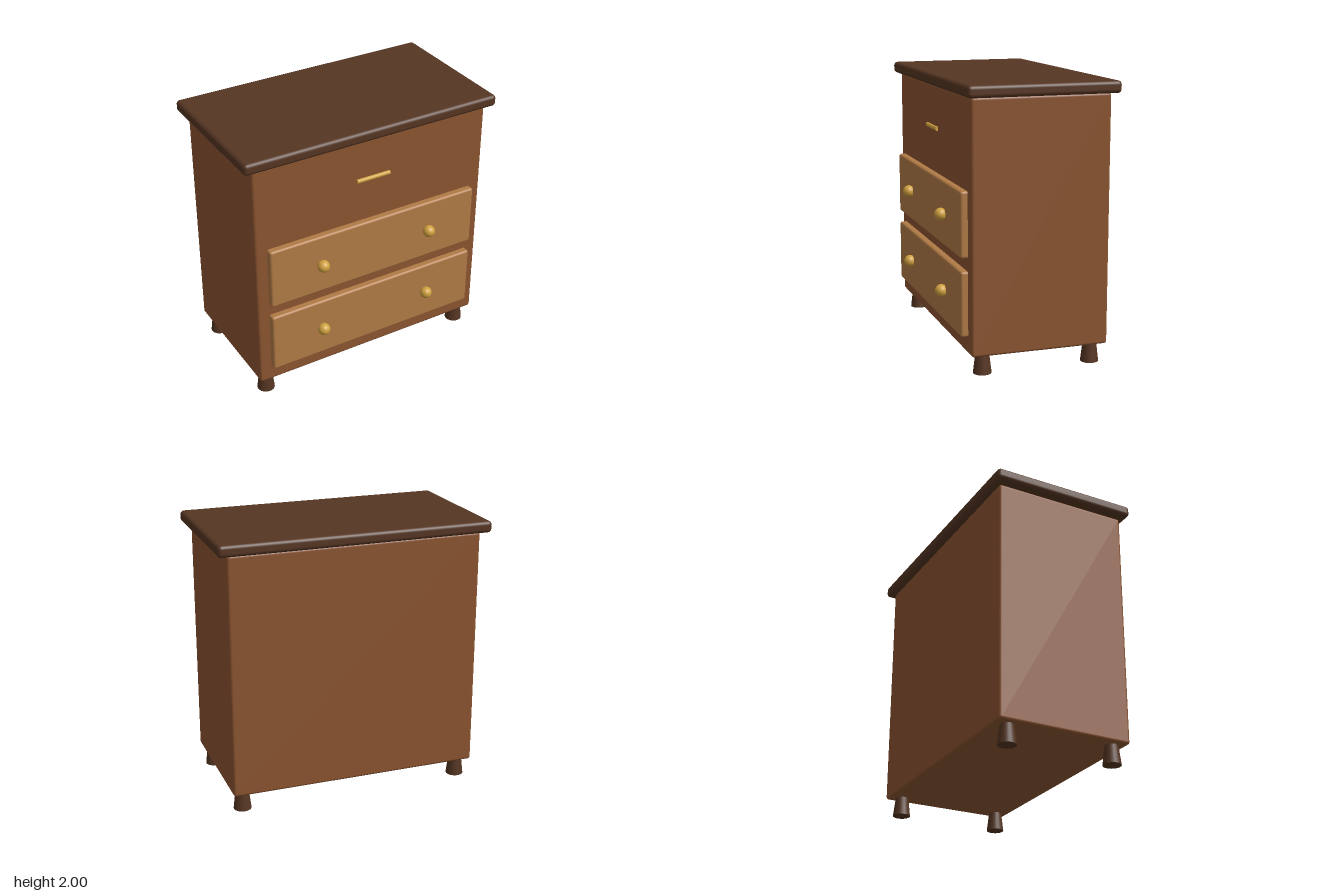
import * as THREE from 'three';
import { RoundedBoxGeometry } from 'three/addons/geometries/RoundedBoxGeometry.js';

const mat = (name, color) => {
  const m = new THREE.MeshStandardMaterial({ color });
  m.name = name;
  return m;
};

export function createModel() {
  const group = new THREE.Group();
  group.name = 'chestOfDrawers';
  const wood = mat('brown wood', 0x8b5430);
  const darkWood = mat('dark wood', 0x553522);
  const lightWood = mat('light wood', 0xb07a45);
  const brass = mat('brass', 0xcfa03f);

  const add = (name, geometry, material, x, y, z) => {
    const mesh = new THREE.Mesh(geometry, material);
    mesh.name = name;
    mesh.position.set(x, y, z);
    group.add(mesh);
    return mesh;
  };

  // Carcass and overhanging top
  add('body', new RoundedBoxGeometry(1.86, 1.775, 0.998, 4, 0.02), wood, 0, 1.0275, -0.037);
  add('top', new RoundedBoxGeometry(2, 0.085, 1.09, 4, 0.028), darkWood, 0, 1.9575, -0.038);

  // Two drawer fronts, each with a pair of knobs
  const drawer = new RoundedBoxGeometry(1.685, 0.463, 0.09, 4, 0.018);
  const knob = new THREE.SphereGeometry(0.045, 24, 16);
  for (const y of [0.494, 1.048]) {
    add('drawerFront', drawer, lightWood, 0, y, 0.468);
    for (const side of [-1, 1]) add('knob', knob, brass, side * 0.443, y + 0.001, 0.538);
  }

  // Slim bar handle above the drawers
  const bar = new THREE.CylinderGeometry(0.016, 0.016, 0.266, 16);
  bar.rotateZ(Math.PI / 2);
  add('barHandle', bar, brass, 0, 1.605, 0.466);

  // Tapered feet
  const leg = new THREE.CylinderGeometry(0.047, 0.065, 0.15, 24);
  for (const x of [-0.845, 0.845]) {
    for (const z of [0.363, -0.437]) add('leg', leg, darkWood, x, 0.075, z);
  }
  return group;
}
